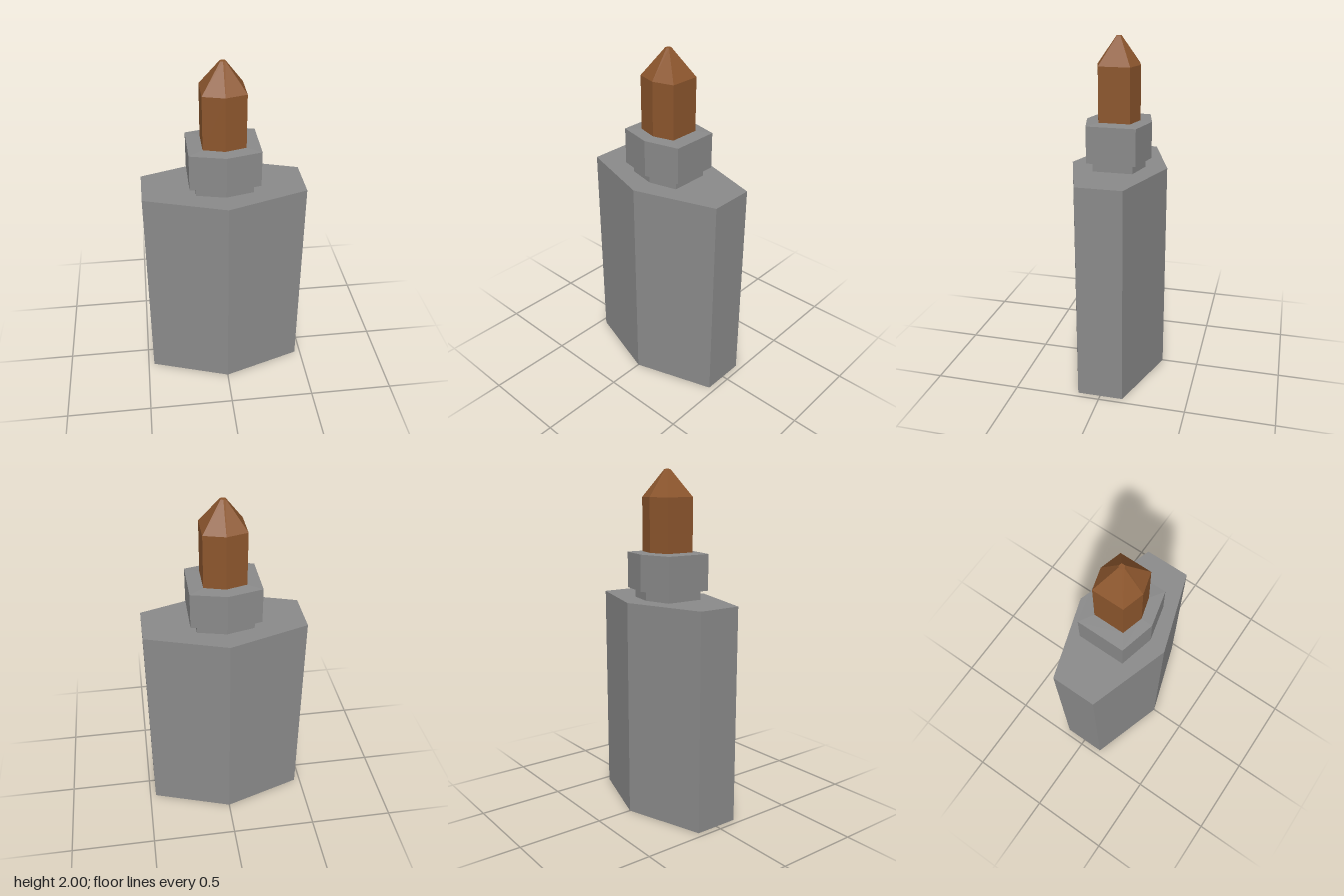
import * as THREE from 'three';

// Flat-sided hexagonal solid. Each ring is [y, half width, z of front corner, z of side corners].
function hexSolid(name, rings, color) {
  const loops = rings.map(([y, w, zc, zs]) =>
    [[w, zs], [0, zc], [-w, zs], [-w, -zs], [0, -zc], [w, -zs]].map(([x, z]) => [x, y, z]));
  const pos = [];
  const tri = (...corners) => corners.forEach((c) => pos.push(...c));
  // walls between neighbouring rings
  for (let r = 0; r < loops.length - 1; r++) {
    const a = loops[r], b = loops[r + 1];
    for (let i = 0; i < 6; i++) {
      const j = (i + 1) % 6;
      tri(a[i], b[i], a[j]);
      tri(b[i], b[j], a[j]);
    }
  }
  // end caps
  const bottom = loops[0], top = loops[loops.length - 1];
  for (let i = 1; i < 5; i++) {
    tri(bottom[0], bottom[i], bottom[i + 1]);
    tri(top[0], top[i + 1], top[i]);
  }
  const geometry = new THREE.BufferGeometry();
  geometry.setAttribute('position', new THREE.Float32BufferAttribute(pos, 3));
  geometry.computeVertexNormals();
  const mesh = new THREE.Mesh(geometry, new THREE.MeshStandardMaterial({ color, flatShading: true }));
  mesh.name = name;
  return mesh;
}

export function createModel() {
  const grey = 0x8a8a8a, copper = 0x8c562d;
  const group = new THREE.Group();
  group.name = 'hexagonalContainer';
  group.add(
    // wide flattened body
    hexSolid('body', [[0, 0.465, 0.283, 0.132], [1.265, 0.465, 0.283, 0.132]], grey),
    // short neck under the collar
    hexSolid('neck', [[1.26, 0.163, 0.155, 0.115], [1.32, 0.163, 0.155, 0.115]], grey),
    // collar with barely sloped ends
    hexSolid('collar', [
      [1.315, 0.15, 0.142, 0.105],
      [1.32, 0.2, 0.19, 0.141],
      [1.53, 0.2, 0.19, 0.141],
      [1.536, 0.12, 0.124, 0.09],
    ], grey),
    // pointed cap with a tiny flat end
    hexSolid('pointedTip', [
      [1.53, 0.12, 0.124, 0.09],
      [1.845, 0.12, 0.124, 0.09],
      [2, 0.014, 0.015, 0.01],
    ], copper),
  );
  return group;
}
